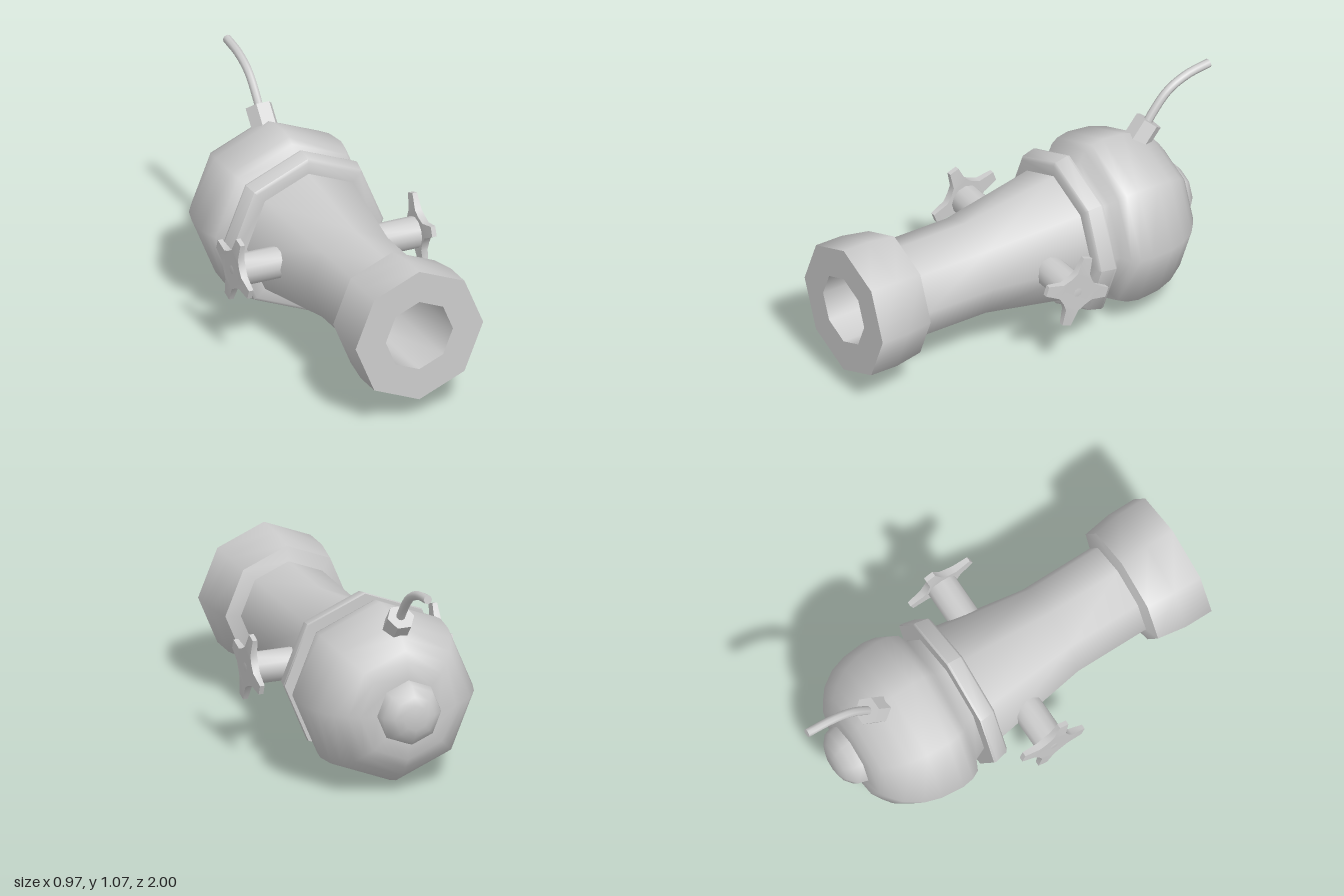
import * as THREE from 'three';
import { toCreasedNormals } from 'three/addons/utils/BufferGeometryUtils.js';

const AXIS_Y = 0.422;
const grey = new THREE.MeshStandardMaterial({ color: 0xcccccc });

function part(name, geometry, crease = 0.9) {
  const mesh = new THREE.Mesh(toCreasedNormals(geometry, crease), grey);
  mesh.name = name;
  return mesh;
}

// Eight-sided turned part lying along z; profile is [radius, z] from back to front
function turned(name, profile) {
  const points = profile.map(([r, z]) => new THREE.Vector2(r, z));
  const mesh = part(name, new THREE.LatheGeometry(points, 8).rotateX(Math.PI / 2));
  mesh.position.y = AXIS_Y;
  return mesh;
}

// Four-armed star, thinner towards the tips, facing +x
function wheelGeometry() {
  const shape = new THREE.Shape();
  const polar = (r, a) => new THREE.Vector2(r * Math.cos(a), r * Math.sin(a));
  const outline = [];
  for (let i = 0; i < 4; i++) {
    const a = THREE.MathUtils.degToRad(70 + 90 * i);
    outline.push(polar(0.174, a - 0.14), polar(0.174, a + 0.14),
      polar(0.1, a + 0.36), polar(0.087, a + Math.PI / 4), polar(0.1, a + Math.PI / 2 - 0.36));
  }
  shape.setFromPoints(outline);
  const geometry = new THREE.ExtrudeGeometry(shape, { depth: 0.036, bevelEnabled: false });
  geometry.translate(0, 0, -0.018);
  const p = geometry.attributes.position;
  for (let i = 0; i < p.count; i++) {
    const r = Math.hypot(p.getX(i), p.getY(i));
    p.setZ(i, p.getZ(i) * (1.3 - 3.8 * r));
  }
  return geometry.rotateY(Math.PI / 2);
}

// Side axle with its star wheel
function sideHandle(name) {
  const handle = new THREE.Group();
  handle.name = name;
  const axle = part('axle', new THREE.CylinderGeometry(0.075, 0.075, 0.3, 12).rotateZ(Math.PI / 2));
  axle.position.x = 0.305;
  const wheel = part('starWheel', wheelGeometry(), 0.7);
  wheel.position.set(0.467, 0.01, 0);
  const hub = part('hub', new THREE.CylinderGeometry(0.02, 0.08, 0.012, 8).rotateZ(-Math.PI / 2));
  hub.position.set(0.478, 0.01, 0);
  handle.add(axle, wheel, hub);
  handle.position.set(0, AXIS_Y + 0.003, 0.035);
  return handle;
}

export function createModel() {
  const model = new THREE.Group();
  model.name = 'cannon';

  // Barrel with flange, muzzle ring and hollow bore
  model.add(turned('barrel', [
    [0, -0.25], [0.313, -0.245], [0.313, -0.236], [0.397, -0.236], [0.4, -0.225], [0.385, -0.16], [0.37, -0.15],
    [0.315, -0.15], [0.235, 0.33], [0.235, 0.7], [0.303, 0.722], [0.325, 0.86],
    [0.325, 1], [0.171, 1], [0.171, 0.5], [0, 0.5],
  ]));

  // Rounded breech behind the flange
  model.add(turned('breech', [
    [0, -0.765], [0.155, -0.765], [0.235, -0.757], [0.285, -0.725], [0.335, -0.685], [0.385, -0.61],
    [0.41, -0.53], [0.42, -0.42], [0.41, -0.36], [0.39, -0.32], [0.34, -0.295], [0.313, -0.236],
  ]));

  // Knob at the back end
  model.add(turned('backKnob', [
    [0, -0.862], [0.06, -0.86], [0.1, -0.845], [0.142, -0.81], [0.155, -0.765], [0.155, -0.74],
  ]));

  // Side handles
  const leftHandle = sideHandle('leftHandle');
  const rightHandle = sideHandle('rightHandle');
  rightHandle.rotation.y = Math.PI;
  model.add(leftHandle, rightHandle);

  // Hexagonal fuse socket, tilted backwards
  const tilt = -0.69;
  const socket = part('fuseSocket',
    new THREE.CylinderGeometry(0.066, 0.066, 0.16, 6).rotateY(Math.PI / 6).translate(0, -0.08, 0));
  socket.position.set(0, 0.853, -0.671);
  socket.rotation.x = tilt;
  model.add(socket);

  // Curved fuse with a closed tip
  const path = new THREE.CatmullRomCurve3([
    [0.82, -0.645], [0.88, -0.685], [0.98, -0.775], [1.03, -0.88], [1.05, -1],
  ].map(([y, z]) => new THREE.Vector3(0, y, z)));
  const fuse = part('fuse', new THREE.TubeGeometry(path, 12, 0.021, 8));
  const tip = part('fuseTip', new THREE.CircleGeometry(0.021, 8).rotateY(Math.PI));
  tip.position.set(0, 1.05, -1);
  tip.rotation.x = -Math.atan2(path.getTangent(1).y, -path.getTangent(1).z) * -1;
  model.add(fuse, tip);

  return model;
}
